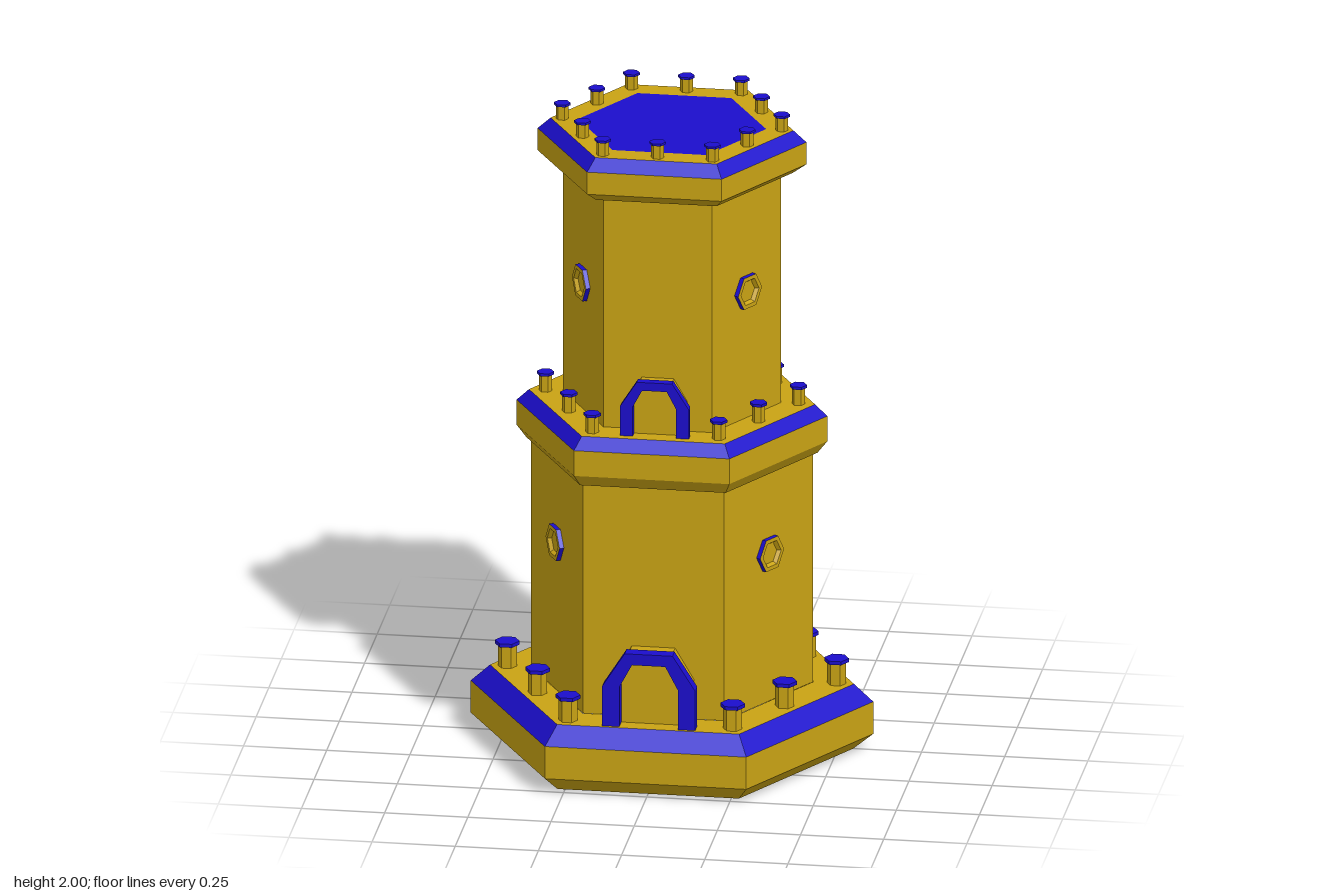
import * as THREE from 'three';

const mat = (color) => new THREE.MeshStandardMaterial({ color, flatShading: true, side: THREE.DoubleSide });
const GOLD = mat(0xc9a314), BLUE = mat(0x1b0dcc);
const COS30 = Math.cos(Math.PI / 6);

function add(parent, name, geometry, material) {
  const mesh = new THREE.Mesh(geometry, material);
  mesh.name = name;
  parent.add(mesh);
  return mesh;
}

// Six-sided surface from [radius, y] pairs, corners on the x axis
function hex(points, sides = 6) {
  const profile = points.map(([r, y]) => new THREE.Vector2(r, y));
  return new THREE.LatheGeometry(profile, sides, Math.PI / 6, (sides * Math.PI) / 3);
}

// Pointless arch outline: straight legs, sloped shoulders, flat top
function archPoints(halfWidth, shoulder, halfTop, top) {
  return [[-halfWidth, 0], [halfWidth, 0], [halfWidth, shoulder], [halfTop, top], [-halfTop, top], [-halfWidth, shoulder]]
    .map(([x, y]) => new THREE.Vector2(x, y));
}
const OPENING = archPoints(0.088, 0.125, 0.05, 0.197);

// Arch band with open bottom between the legs
function archBand(outer, depth) {
  const [a, b, c, d, e, f] = outer;
  const [g, h, i, j, k, l] = OPENING;
  const shape = new THREE.Shape([b, c, d, e, f, a, g, l, k, j, i, h]);
  return new THREE.ExtrudeGeometry(shape, { depth, bevelEnabled: false });
}

// Hollow porch with a panel and a blue frame
function doorway(scale, depthScale) {
  const door = new THREE.Group();
  door.name = 'doorway';
  add(door, 'porch', archBand(archPoints(0.122, 0.125, 0.065, 0.222), 0.057), GOLD);
  add(door, 'doorPanel', new THREE.ShapeGeometry(new THREE.Shape(OPENING)), GOLD).position.z = 0.057;
  add(door, 'doorFrame', archBand(archPoints(0.14, 0.125, 0.072, 0.232), 0.04), BLUE).position.z = 0.057;
  door.scale.set(scale, scale, depthScale);
  return door;
}

// Hexagonal porthole with a blue rim
function porthole() {
  const win = new THREE.Group();
  win.name = 'window';
  add(win, 'windowRim', hex([[0.057, 0], [0.057, 0.014]]), BLUE).rotation.x = Math.PI / 2;
  add(win, 'windowFace', hex([[0.057, 0.014], [0.043, 0.014], [0.035, 0.003], [0, 0.003]]), GOLD).rotation.x = Math.PI / 2;
  return win;
}

// One tower storey: walls, doorway at the front, windows on three faces
function storey(name, r, y0, y1, windowY, doorScale, doorDepth) {
  const group = new THREE.Group();
  group.name = name;
  const apothem = r * COS30;
  add(group, 'walls', hex([[r, y0], [r, y1]], 5), GOLD);

  const front = new THREE.Shape([[-r / 2, 0], [r / 2, 0], [r / 2, y1 - y0], [-r / 2, y1 - y0]]
    .map(([x, y]) => new THREE.Vector2(x, y)));
  front.holes.push(new THREE.Path(OPENING.map((p) => new THREE.Vector2(p.x * doorScale, p.y * doorScale + 0.001))));
  add(group, 'frontWall', new THREE.ShapeGeometry(front), GOLD).position.set(0, y0, apothem);

  const door = doorway(doorScale, doorDepth);
  door.position.set(0, y0, apothem);
  group.add(door);

  for (const angle of [Math.PI / 3, -Math.PI / 3, Math.PI]) {
    const win = porthole();
    win.rotation.y = angle;
    win.position.set(Math.sin(angle) * apothem, windowY, Math.cos(angle) * apothem);
    group.add(win);
  }
  return group;
}

// Projecting ledge: gold band, blue bevel, gold deck
function ledge(name, below, rim, inner) {
  const group = new THREE.Group();
  group.name = name;
  const edge = below[below.length - 1];
  add(group, 'band', hex(below), GOLD);
  add(group, 'bevel', hex([edge, rim]), BLUE);
  add(group, 'deck', hex([rim, [inner, rim[1]]]), GOLD);
  return group;
}

// Posts at the corners and edge midpoints of a hexagon
function posts(name, r, y, height, capRadius, skipFront) {
  const group = new THREE.Group();
  group.name = name;
  const capHeight = height * 0.14;
  for (let i = 0; i < 12; i++) {
    if (skipFront && i === 0) continue;
    const angle = (i * Math.PI) / 6;
    const d = i % 2 ? r : r * COS30;
    const post = new THREE.Group();
    post.name = 'post';
    const s = capRadius * 0.77, top = height - capHeight;
    add(post, 'shaft', hex([[s, 0], [s, top]]), GOLD);
    add(post, 'cap', hex([[0, top], [capRadius, top], [capRadius, height], [0, height]]), BLUE);
    post.position.set(Math.sin(angle) * d, y, Math.cos(angle) * d);
    group.add(post);
  }
  return group;
}

export function createModel() {
  const tower = new THREE.Group();
  tower.name = 'tower';

  // Hollow base, middle ledge and crown
  tower.add(
    ledge('base', [[0.425, 0.205], [0.425, 0.05], [0.43, 0], [0.545, 0], [0.605, 0.05], [0.605, 0.152]], [0.547, 0.205], 0.425),
    ledge('middleLedge', [[0.422, 0.932], [0.437, 0.932], [0.467, 0.97], [0.467, 1.05]], [0.43, 1.085], 0.327),
    ledge('crown', [[0.327, 1.815], [0.362, 1.815], [0.404, 1.845], [0.404, 1.915]], [0.365, 1.95], 0.283),
  );
  add(tower, 'roof', hex([[0.283, 1.95], [0, 1.95]]), BLUE);

  // Storeys
  tower.add(
    storey('lowerStorey', 0.424, 0.205, 0.932, 0.675, 1, 1),
    storey('upperStorey', 0.327, 1.085, 1.815, 1.487, 0.74, 0.68),
  );

  // Rings of posts
  tower.add(
    posts('basePosts', 0.495, 0.205, 0.08, 0.037, true),
    posts('middlePosts', 0.38, 1.085, 0.06, 0.026, true),
    posts('crownPosts', 0.33, 1.95, 0.05, 0.025, false),
  );
  return tower;
}
